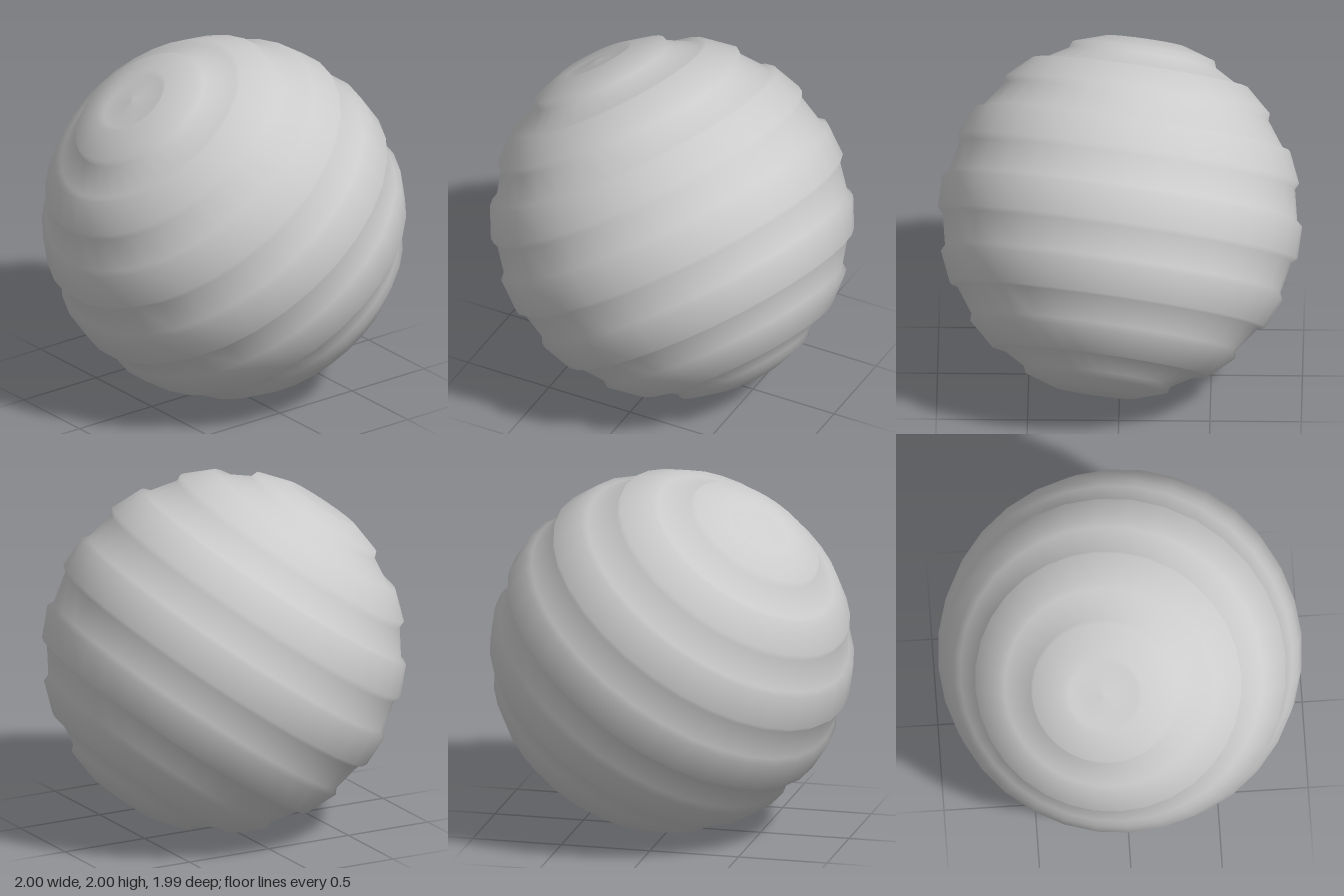
import * as THREE from 'three';

const BANDS = 15;      // alternating low and high bands from pole to pole
const LOW = 0.972;     // radius of the sunken bands
const HIGH = 1.0;      // radius of the raised bands
const WALL = 0.014;    // half the angular width of the step between bands

export function createModel() {
  const group = new THREE.Group();
  group.name = 'groovedBall';

  // Profile from the lower pole to the upper pole, stepping at each band edge
  const at = (angle, r) => new THREE.Vector2(Math.sin(angle) * r, -Math.cos(angle) * r);
  const step = Math.PI / BANDS;
  const radius = (band) => (band % 2 ? HIGH : LOW);
  const profile = [new THREE.Vector2(0, -LOW)];
  for (let i = 1; i < BANDS; i++) {
    profile.push(at(i * step - WALL, radius(i - 1)));
    profile.push(at(i * step + WALL, radius(i)));
  }
  profile.push(new THREE.Vector2(0, LOW));

  const ball = new THREE.Mesh(
    new THREE.LatheGeometry(profile, 32),
    new THREE.MeshStandardMaterial({ color: 0xcccccc })
  );
  ball.name = 'ringedSphere';

  // Lean the ring axis forward and slightly to the right
  const axis = new THREE.Vector3(-0.133, 0.82, 0.557).normalize();
  ball.quaternion.setFromUnitVectors(new THREE.Vector3(0, 1, 0), axis);
  ball.position.y = 1;
  group.add(ball);
  return group;
}
